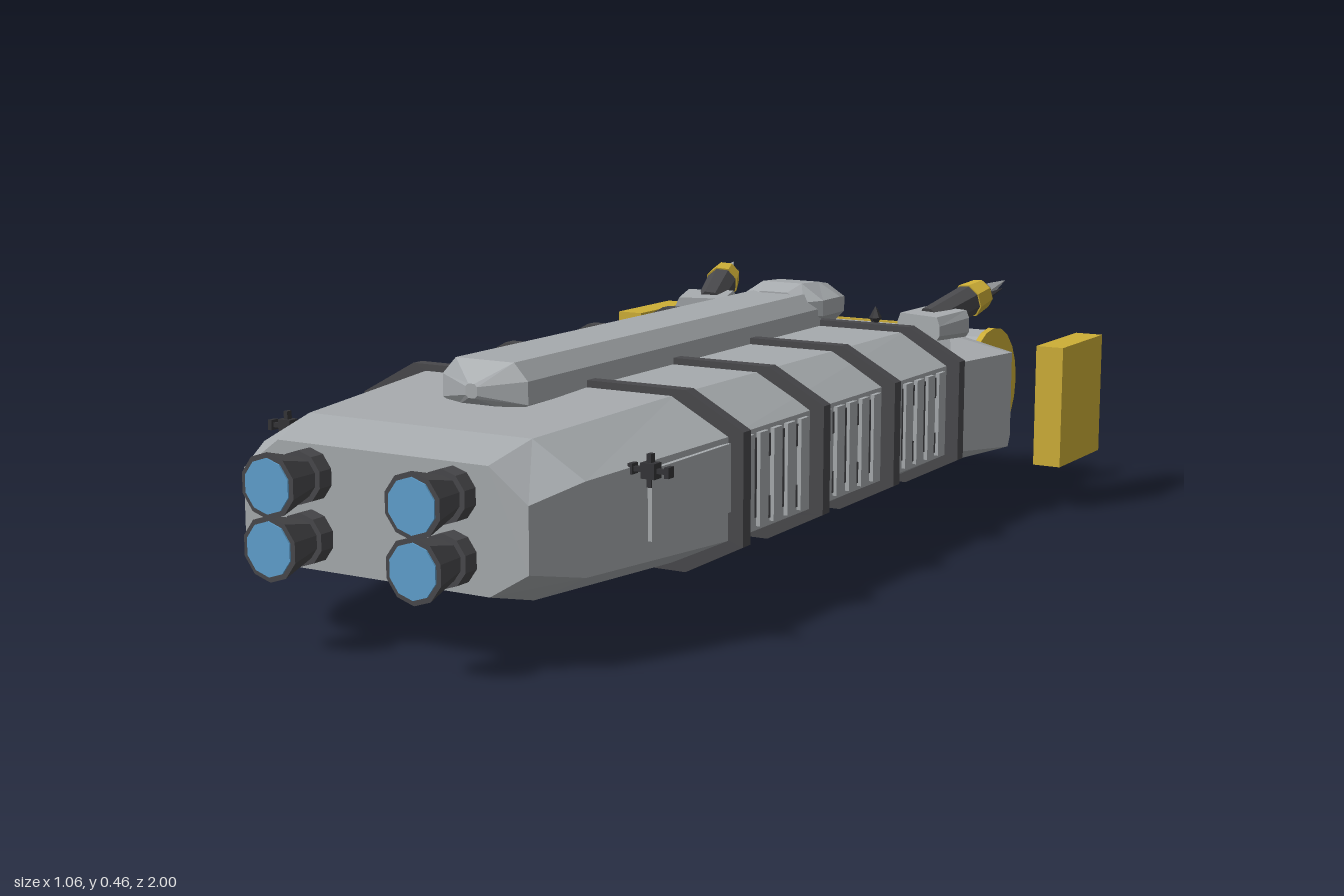
import * as THREE from 'three';

const mat = (name, color) => Object.assign(new THREE.MeshStandardMaterial({ color }), { name });

export function createModel() {
  const root = new THREE.Group();
  root.name = 'drillShip';
  const grey = mat('hull grey', 0xa6aaad);
  const dark = mat('dark metal', 0x48484b);
  const black = mat('spike black', 0x343437);
  const gold = mat('warning yellow', 0xcdae36);
  const blue = mat('engine blue', 0x5f9fcd);

  // ---- helpers ----
  const add = (name, geo, material, parent = root) => {
    const g = geo.index ? geo.toNonIndexed() : geo;
    g.computeVertexNormals();
    const m = new THREE.Mesh(g, material);
    m.name = name;
    parent.add(m);
    return m;
  };
  const box = (name, material, w, h, d, x, y, z, parent) => {
    const m = add(name, new THREE.BoxGeometry(w, h, d), material, parent);
    m.position.set(x, y, z);
    return m;
  };
  // tapered rod from point a to point b
  const rod = (name, material, a, b, ra, rb, sides = 8, parent = root) => {
    const p = new THREE.Vector3(...a), q = new THREE.Vector3(...b);
    const dir = q.clone().sub(p);
    const m = add(name, new THREE.CylinderGeometry(rb, ra, dir.length(), sides), material, parent);
    m.position.copy(p).add(q).multiplyScalar(0.5);
    m.quaternion.setFromUnitVectors(new THREE.Vector3(0, 1, 0), dir.normalize());
    return m;
  };
  // eight-sided section: side and top half widths, then four heights upwards
  const octagon = (w, t, y0, y1, y2, y3) =>
    [[w, y1], [w, y2], [t, y3], [-t, y3], [-w, y2], [-w, y1], [-t, y0], [t, y0]];
  // skin over sections [z, w, t, y0, y1, y2, y3], listed front to back
  const loft = sections => {
    const pos = [], idx = [], n = 8, last = (sections.length - 1) * n;
    sections.forEach(([z, ...s], i) => {
      octagon(...s).forEach(([x, y]) => pos.push(x, y, z));
      if (i === sections.length - 1) return;
      for (let j = 0; j < n; j++) {
        const a = i * n + j, b = i * n + (j + 1) % n;
        idx.push(a, a + n, b + n, a, b + n, b);
      }
    });
    for (let j = 1; j < n - 1; j++) idx.push(0, j, j + 1, last, last + j + 1, last + j);
    const g = new THREE.BufferGeometry();
    g.setAttribute('position', new THREE.Float32BufferAttribute(pos, 3));
    g.setIndex(idx);
    return g;
  };

  // ---- hull ----
  add('hull', loft([
    [0.89, 0.285, 0.21, 0.125, 0.17, 0.28, 0.335],
    [0.79, 0.325, 0.225, 0.10, 0.15, 0.305, 0.363],
    [0.41, 0.372, 0.26, 0.088, 0.14, 0.32, 0.38],
    [-0.48, 0.372, 0.27, 0.088, 0.14, 0.32, 0.38],
    [-0.65, 0.425, 0.29, 0.09, 0.13, 0.325, 0.352],
    [-0.72, 0.40, 0.28, 0.10, 0.14, 0.315, 0.342],
  ]), grey);

  // ---- bands around the hull ----
  for (const z of [0.407, 0.115, -0.175, -0.468])
    add('hullBand', loft([z + 0.013, z - 0.013].map(
      q => [q, 0.4, 0.287, 0.075, 0.132, 0.33, 0.392])), dark);

  // ---- spine and its rear pod ----
  add('spine', loft([
    [0.64, 0.012, 0.006, 0.385, 0.39, 0.405, 0.41],
    [0.6, 0.088, 0.06, 0.36, 0.375, 0.415, 0.445],
    [-0.46, 0.088, 0.06, 0.36, 0.375, 0.415, 0.445],
  ]), grey);
  add('spinePod', loft([
    [-0.42, 0.068, 0.03, 0.375, 0.405, 0.43, 0.448],
    [-0.455, 0.095, 0.045, 0.37, 0.4, 0.432, 0.464],
    [-0.53, 0.095, 0.045, 0.36, 0.4, 0.432, 0.46],
    [-0.59, 0.075, 0.035, 0.355, 0.395, 0.425, 0.45],
    [-0.63, 0.02, 0.01, 0.35, 0.385, 0.41, 0.425],
  ]), grey);

  // ---- engines ----
  for (const x of [-0.143, 0.143]) for (const y of [0.181, 0.284]) {
    const engine = new THREE.Group();
    engine.name = 'engine';
    engine.position.set(x, y, 0);
    root.add(engine);
    rod('engineBase', dark, [0, 0, 0.87], [0, 0, 0.92], 0.045, 0.045, 10, engine);
    rod('nozzle', dark, [0, 0, 0.915], [0, 0, 0.997], 0.034, 0.055, 10, engine);
    rod('engineGlow', blue, [0, 0, 0.994], [0, 0, 1], 0.046, 0.046, 10, engine);
  }

  // ---- side details, mirrored ----
  for (const s of [-1, 1]) {
    // ribbed bays between the bands
    for (const [bay, z0] of [0.26, -0.03, -0.32].entries()) {
      for (let i = 0; i < 5; i++) {
        const z = z0 + (i - 2) * 0.05;
        box('bayRib', grey, 0.016, 0.165, 0.03, s * 0.372, 0.23, z);
        const h = (i + bay) % 2 ? 0.14 : 0.04;
        box('baySlot', dark, 0.008, h, 0.007, s * 0.373, 0.305 - h / 2, z + 0.025);
        if (h < 0.1) box('baySlotLower', dark, 0.008, h, 0.007, s * 0.373, 0.175, z + 0.025);
      }
    }
    // forward panel with a sensor at its tip
    box('sidePanel', grey, 0.008, 0.118, 0.26, s * 0.372, 0.25, 0.545);
    box('sensorBody', black, 0.026, 0.026, 0.022, s * 0.372, 0.307, 0.672);
    box('sensorMast', black, 0.008, 0.055, 0.012, s * 0.372, 0.307, 0.672);
    box('sensorArm', black, 0.075, 0.008, 0.008, s * 0.372, 0.307, 0.672);
    for (const e of [-1, 1])
      box('sensorTip', black, 0.008, 0.018, 0.018, s * 0.372 + e * 0.034, 0.307, 0.672);
    // outrigger plate
    box('outriggerPlate', gold, 0.058, 0.247, 0.218, s * 0.503, 0.217, -0.779);
    // belly antenna
    rod('bellyAntenna', black, [s * 0.17, 0.09, 0.1], [s * 0.17, 0.06, 0.1], 0.007, 0.001, 5);
  }
  box('bellyHatch', grey, 0.05, 0.025, 0.045, 0, 0.084, 0.05);
  box('bellyHatchSlot', dark, 0.025, 0.004, 0.03, 0, 0.071, 0.05);

  // ---- spiked drum ----
  const drum = new THREE.Group();
  drum.name = 'drum';
  drum.position.set(0, 0.217, -0.845);
  root.add(drum);
  rod('drumBody', grey, [-0.297, 0, 0], [0.297, 0, 0], 0.121, 0.121, 16, drum);
  for (const s of [-1, 1])
    rod('drumCap', gold, [s * 0.292, 0, 0], [s * 0.305, 0, 0], 0.126, 0.126, 20, drum);
  box('drumStripe', gold, 0.49, 0.006, 0.009, 0, 0.121, 0, drum);
  // two helices of spikes
  for (const start of [0, Math.PI]) for (let i = 0; i < 17; i++) {
    const x = -0.262 + i * 0.032;
    const a = 0.12 + start + (x + 0.17) / 0.032 * 0.5;
    const at = r => [x, r * Math.cos(a), r * Math.sin(a)];
    rod('drumSpike', black, at(0.116), at(0.13), 0.007, 0.014, 6, drum);
    rod('drumSpikeTip', black, at(0.13), at(0.154), 0.014, 0.001, 6, drum);
  }

  // ---- drill arms ----
  const drillArm = (name, a, b) => {
    const arm = new THREE.Group();
    arm.name = name;
    root.add(arm);
    const A = new THREE.Vector3(...a), B = new THREE.Vector3(...b);
    const at = t => A.clone().lerp(B, t).toArray();
    rod('armBarrel', dark, at(0), at(0.55), 0.03, 0.034, 8, arm);
    rod('armCollar', gold, at(0.5), at(0.68), 0.037, 0.032, 8, arm);
    rod('armChuck', dark, at(0.68), at(0.74), 0.025, 0.018, 8, arm);
    rod('armBit', grey, at(0.7), at(1), 0.02, 0.001, 6, arm);
    for (const e of [-1, 1]) // small prongs beside the bit
      rod('armProng', black, at(0.66).map((v, i) => v + (i ? 0 : e * 0.024)),
        at(0.82).map((v, i) => v + (i ? 0 : e * 0.024)), 0.007, 0.001, 5, arm);
  };
  // tapered mounting block
  const mount = (x, y, z, turn, flip) => {
    const m = add('armMount', loft([
      [0.045, 0.058, 0.05, -0.03, -0.02, 0, 0.018],
      [-0.045, 0.058, 0.05, -0.03, -0.02, 0.01, 0.025],
    ]), grey);
    m.position.set(x, y, z);
    m.rotation.set(0, turn, flip);
  };
  for (const s of [-1, 1]) {
    drillArm('upperDrillArm', [s * 0.262, 0.383, -0.61], [s * 0.33, 0.448, -0.835]);
    mount(s * 0.27, 0.383, -0.61, -s * 0.3, 0);
  }
  drillArm('lowerDrillArm', [0, 0.075, -0.62], [0, 0.013, -0.85]);
  mount(0, 0.082, -0.61, 0, Math.PI);

  return root;
}
